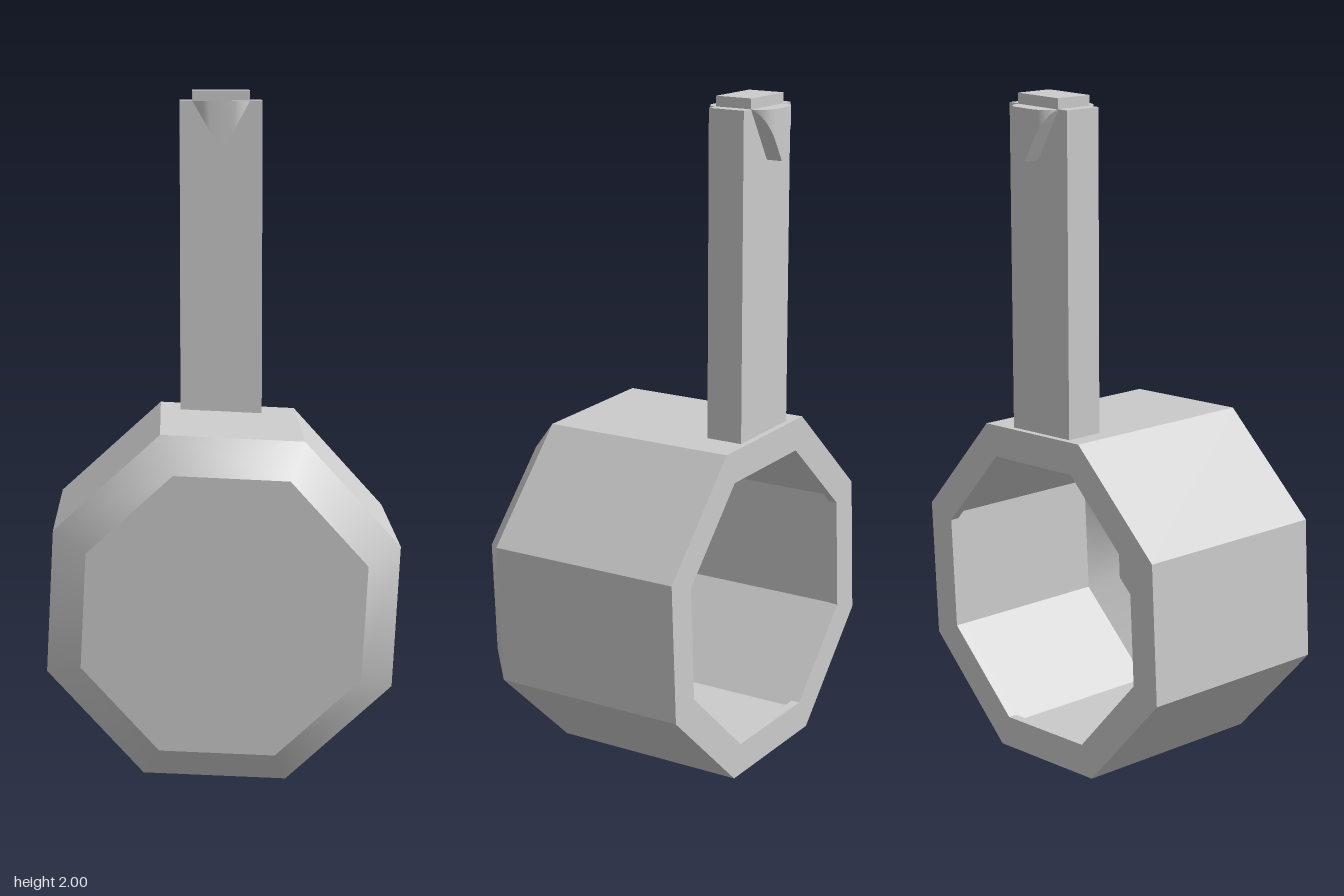
import * as THREE from 'three';
import { toCreasedNormals } from 'three/addons/utils/BufferGeometryUtils.js';

const grey = new THREE.MeshStandardMaterial({ color: 0xcccccc });
grey.name = 'light grey';

function add(parent, name, geometry, x = 0, y = 0, z = 0) {
  const mesh = new THREE.Mesh(geometry, grey);
  mesh.name = name;
  mesh.position.set(x, y, z);
  parent.add(mesh);
  return mesh;
}

// Eight-sided band between two [radius, z] points, turned so its axis is z
function band(a, b, smooth) {
  const points = [new THREE.Vector2(...a), new THREE.Vector2(...b)];
  let g = new THREE.LatheGeometry(points, 8, THREE.MathUtils.degToRad(19.5));
  g.rotateX(Math.PI / 2);
  if (!smooth) {
    g = g.toNonIndexed();
    g.computeVertexNormals();
  }
  return g;
}

// Half of a rounded block whose underside slopes up from the middle to the side
function wedgeHalf(w, h, r, height) {
  const s = new THREE.Shape();
  s.moveTo(0, -h);
  s.lineTo(w - r, -h);
  s.absarc(w - r, -h + r, r, -Math.PI / 2, 0, false);
  s.lineTo(w, h - r);
  s.absarc(w - r, h - r, r, 0, Math.PI / 2, false);
  s.lineTo(0, h);
  s.closePath();
  const g = new THREE.ExtrudeGeometry(s, { depth: height, bevelEnabled: false, curveSegments: 6 });
  g.rotateX(-Math.PI / 2);
  const p = g.attributes.position;
  for (let i = 0; i < p.count; i++) {
    if (p.getY(i) < height / 2) p.setY(i, height * p.getX(i) / w);
  }
  return toCreasedNormals(g, 0.6);
}

export function createModel() {
  const model = new THREE.Group();
  model.name = 'cup with handle';

  // Hollow octagonal cup, closed at the front and open at the back
  const cup = new THREE.Group();
  cup.name = 'cup';
  cup.position.y = 0.517;
  model.add(cup);
  const profile = [
    ['rim', [0.443, -0.342]],
    ['outerWall', [0.546, -0.342]],
    ['frontBevel', [0.546, 0.272], true],
    ['frontFace', [0.438, 0.37]],
    [null, [0, 0.37]],
    ['innerFloor', [0, 0.3]],
    ['innerBevel', [0.4, 0.3], true],
    ['innerWall', [0.47, 0.22]],
    ['lipBack', [0.47, -0.315]],
    ['lipEdge', [0.443, -0.315]],
    [null, [0.443, -0.342]],
  ];
  profile.forEach(([name, start, smooth], i) => {
    if (name) add(cup, name, band(start, profile[i + 1][1], smooth));
  });

  // Upright handle with a small cap
  add(model, 'handle', new THREE.BoxGeometry(0.25, 0.98, 0.115), 0.004, 1.48, -0.266);
  add(model, 'handleCap', new THREE.BoxGeometry(0.174, 0.04, 0.115), 0.004, 1.98, -0.266);

  // V-shaped catch passing through the top of the handle
  const half = wedgeHalf(0.087, 0.1045, 0.055, 0.15);
  for (const turn of [0, Math.PI]) {
    add(model, 'catch', half, 0.004, 1.819, -0.268).rotation.y = turn;
  }
  return model;
}
